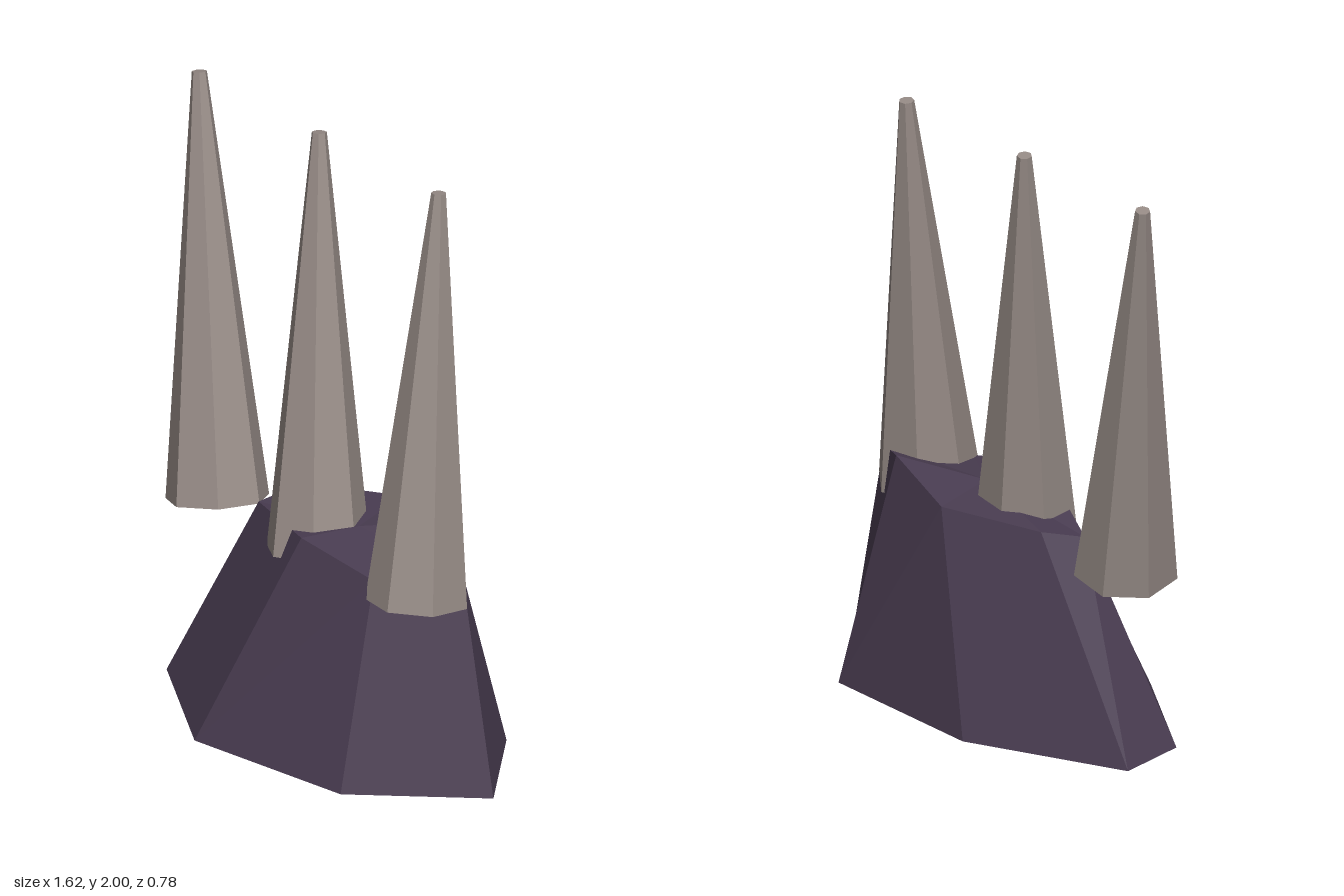
import * as THREE from 'three';

const stone = new THREE.MeshStandardMaterial({ color: 0x4a3d52, flatShading: true });
stone.name = 'dark purple rock';
const horn = new THREE.MeshStandardMaterial({ color: 0x968b86, flatShading: true });
horn.name = 'grey horn';

// Seven-sided rock: a foot ring on the ground and a smaller, uneven upper ring
function rockGeometry() {
  const foot = [
    [0.81, 0, -0.07], [0.47, 0, 0.29], [-0.15, 0, 0.39], [-0.63, 0, 0.11],
    [-0.69, 0, -0.14], [-0.155, 0, -0.395], [0.49, 0, -0.39],
  ];
  const rim = [
    [0.61, 0.72, -0.105], [0.42, 0.69, 0.11], [0.11, 0.746, 0.157], [-0.32, 0.67, -0.02],
    [-0.275, 0.71, -0.166], [0.05, 0.735, -0.318], [0.384, 0.788, -0.236],
  ];
  const n = foot.length;
  const topCentre = [0.14, 0.735, -0.06];
  const footCentre = [0, 0, 0];
  const points = [];
  for (let i = 0; i < n; i++) {
    const j = (i + 1) % n;
    points.push(foot[j], foot[i], rim[i]);
    points.push(foot[j], rim[i], rim[j]);
    points.push(topCentre, rim[j], rim[i]);
    points.push(footCentre, foot[i], foot[j]);
  }
  const geometry = new THREE.BufferGeometry();
  geometry.setAttribute('position', new THREE.Float32BufferAttribute(points.flat(), 3));
  geometry.computeVertexNormals();
  return geometry;
}

// Tapered seven-sided spike running from its base centre to its tip
function makeSpike(name, base, tip, spin) {
  const from = new THREE.Vector3(...base);
  const axis = new THREE.Vector3(...tip).sub(from);
  const length = axis.length();
  const geometry = new THREE.CylinderGeometry(0.025, 0.172, length, 7);
  geometry.rotateY(THREE.MathUtils.degToRad(spin));
  geometry.translate(0, length / 2, 0);
  const spike = new THREE.Mesh(geometry, horn);
  spike.name = name;
  spike.position.copy(from);
  spike.quaternion.setFromUnitVectors(new THREE.Vector3(0, 1, 0), axis.normalize());
  return spike;
}

export function createModel() {
  const model = new THREE.Group();
  model.name = 'spikedRock';

  const rock = new THREE.Mesh(rockGeometry(), stone);
  rock.name = 'rockBase';
  model.add(rock);

  // Three spikes leaning back and fanning to the right
  model.add(
    makeSpike('rightSpike', [-0.517, 0.614, -0.01], [-0.79, 1.995, -0.16], 0),
    makeSpike('middleSpike', [-0.01, 0.614, -0.01], [-0.182, 1.995, -0.16], -6),
    makeSpike('leftSpike', [0.5, 0.614, -0.01], [0.425, 1.995, -0.16], 15),
  );
  return model;
}
